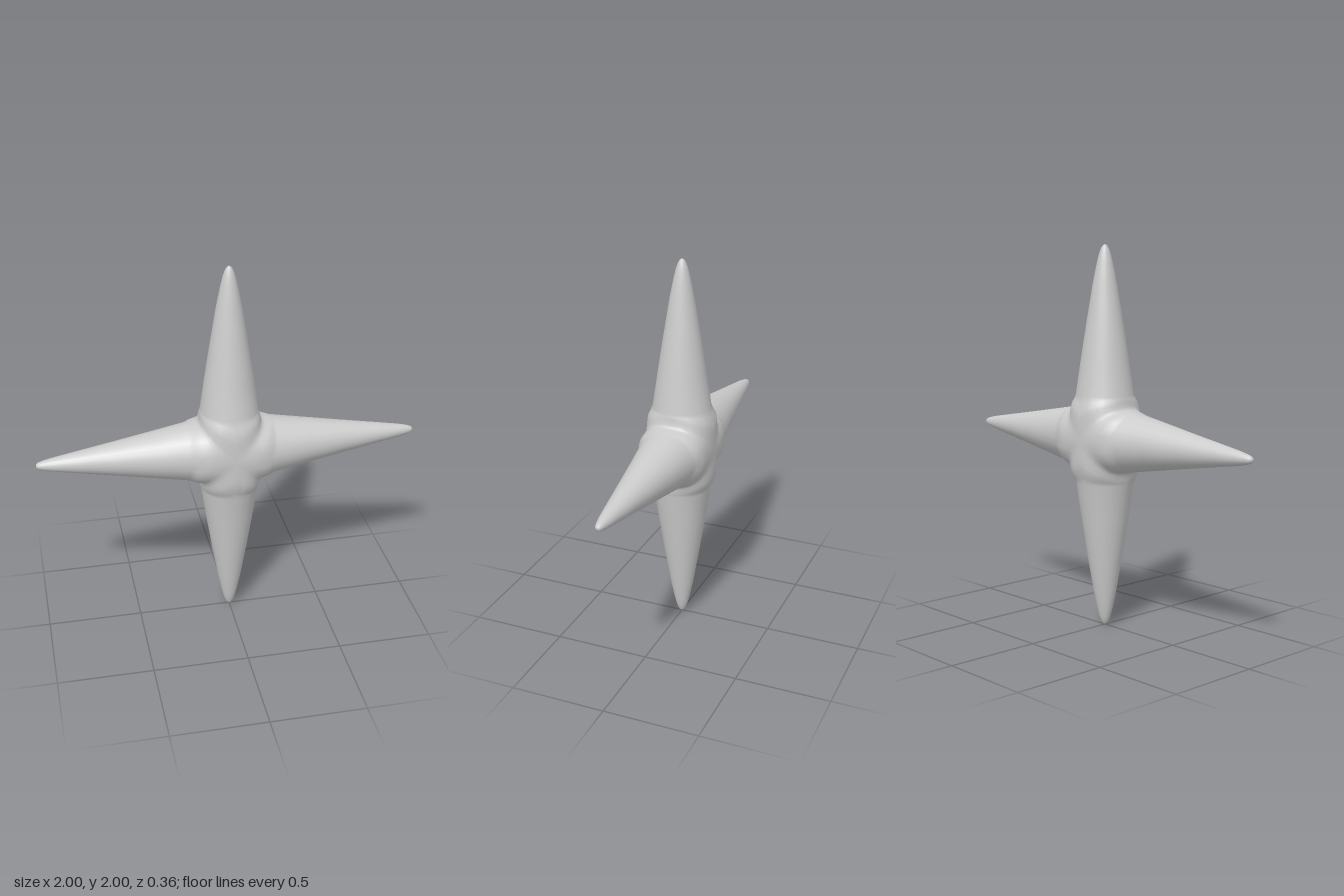
import * as THREE from 'three';
import { mergeVertices } from 'three/addons/utils/BufferGeometryUtils.js';

const SIDES = 24;
const ROOT_END = 0.23;

// Root rings: [blend from mitre to flat ring, half width, half depth, roundness exponent]
const ROOT = [
  [0, 0.165, 0.18, 2.5],
  [0.2, 0.16, 0.18, 2.4],
  [0.45, 0.157, 0.18, 2.25],
  [0.65, 0.156, 0.177, 2.1],
  [0.82, 0.154, 0.163, 2],
  [1, 0.151, 0.152, 2],
];
// Taper rings: [distance from centre, radius]
const SIDE_TAPER = [[0.4, 0.122], [0.6, 0.088], [0.8, 0.055], [0.92, 0.035], [0.97, 0.024], [0.99, 0.017], [0.998, 0.01], [1, 0]];
const UPRIGHT_TAPER = [[0.4, 0.127], [0.6, 0.096], [0.8, 0.063], [0.9, 0.043], [0.95, 0.031], [0.98, 0.02], [0.995, 0.01], [1, 0]];

const power = (v, n) => Math.sign(v) * Math.abs(v) ** (2 / n);

// One arm along +x; its first ring lies on the 45 degree mitres shared with its neighbours
function armRings(taper) {
  const rings = [];
  const addRing = (place) => {
    const ring = [];
    for (let j = 0; j < SIDES; j++) {
      const a = (j / SIDES) * Math.PI * 2;
      ring.push(place(Math.cos(a), Math.sin(a)));
    }
    rings.push(ring);
  };
  for (const [m, w, d, n] of ROOT) {
    addRing((c, s) => {
      const mitre = Math.abs(ROOT[0][1] * power(c, ROOT[0][3]));
      return new THREE.Vector3(mitre + (ROOT_END - mitre) * m, w * power(c, n), d * power(s, n));
    });
  }
  for (const [x, r] of taper) addRing((c, s) => new THREE.Vector3(x, r * c, r * s));
  return rings;
}

export function createModel() {
  const group = new THREE.Group();
  const positions = [];
  const axis = new THREE.Vector3(0, 0, 1);

  // Four arms turned around the centre and joined into one skin
  for (let k = 0; k < 4; k++) {
    const rings = armRings(k % 2 ? UPRIGHT_TAPER : SIDE_TAPER);
    rings.flat().forEach((p) => p.applyAxisAngle(axis, (k * Math.PI) / 2));
    for (let i = 0; i < rings.length - 1; i++) {
      for (let j = 0; j < SIDES; j++) {
        const n = (j + 1) % SIDES;
        const a = rings[i][j], b = rings[i][n], c = rings[i + 1][n], d = rings[i + 1][j];
        const corners = i === rings.length - 2 ? [a, b, d] : [a, b, d, b, c, d];
        corners.forEach((p) => positions.push(p.x, p.y, p.z));
      }
    }
  }

  // Weld the mitre seams so the shading runs smoothly across the centre
  let geometry = new THREE.BufferGeometry();
  geometry.setAttribute('position', new THREE.Float32BufferAttribute(positions, 3));
  geometry = mergeVertices(geometry, 1e-4);
  geometry.computeVertexNormals();
  geometry.translate(0, 1, 0);

  const star = new THREE.Mesh(geometry, new THREE.MeshStandardMaterial({ color: 0xcccccc }));
  star.name = 'fourPointedStar';
  group.add(star);
  return group;
}
